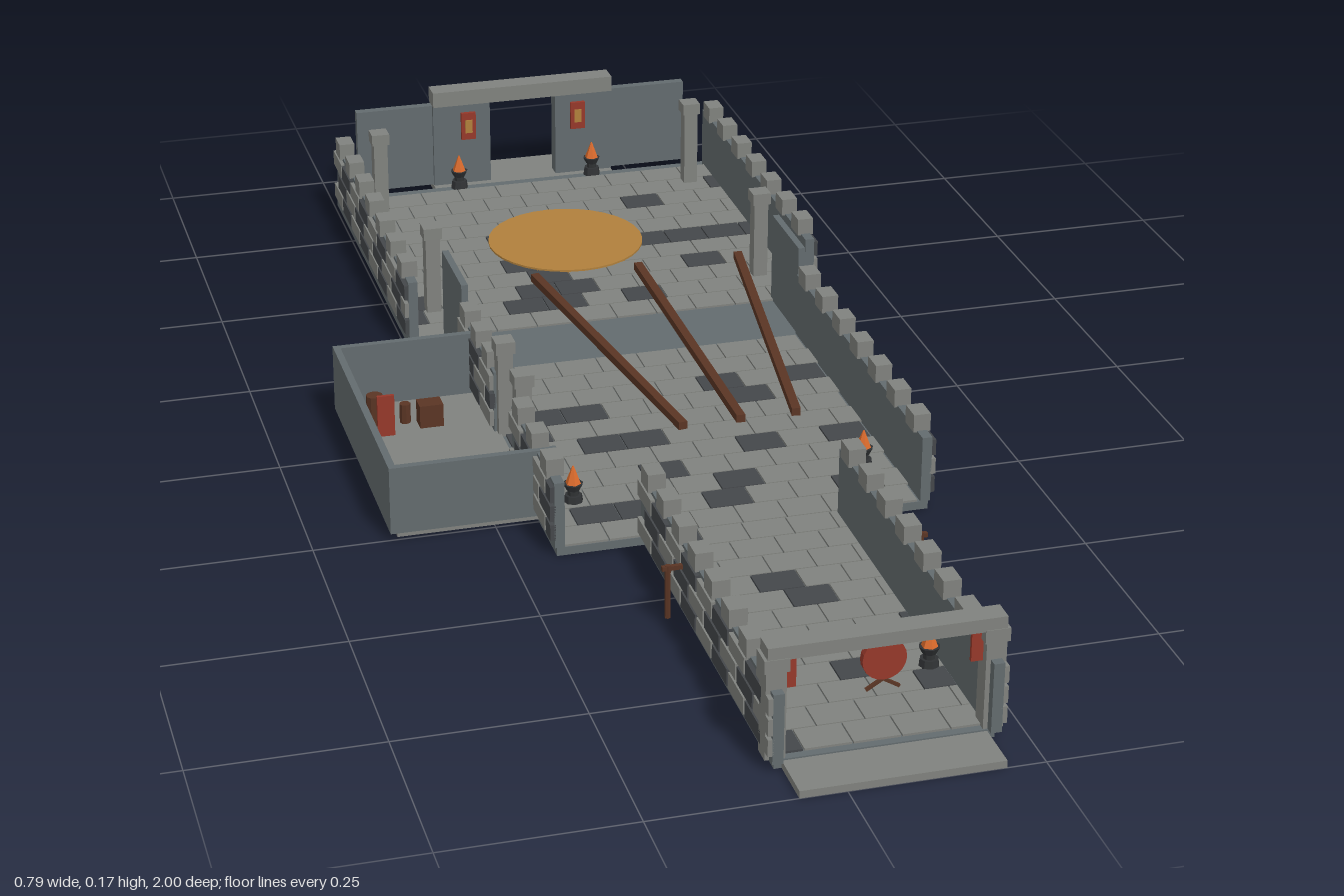
import * as THREE from 'three';
import { mergeGeometries } from 'three/addons/utils/BufferGeometryUtils.js';

const material = (color, extra = {}) => new THREE.MeshStandardMaterial({ color, flatShading: true, ...extra });
const M = {
  wall: material(0x636b6e), stone: material(0x80827e), dark: material(0x44474a),
  wood: material(0x5a3524), red: material(0x96382a), gold: material(0xb0803c),
  flame: material(0xd8692a), iron: material(0x303234),
};
const CX = 0.07; // centre line of the halls
const FLOOR = 0.012;

// Box given by its lower and upper limits
function box(x0, x1, y0, y1, z0, z1) {
  return new THREE.BoxGeometry(x1 - x0, y1 - y0, z1 - z0)
    .translate((x0 + x1) / 2, (y0 + y1) / 2, (z0 + z1) / 2);
}
function cyl(rTop, rBottom, y0, y1, x, z, sides = 8) {
  return new THREE.CylinderGeometry(rTop, rBottom, y1 - y0, sides).translate(x, (y0 + y1) / 2, z);
}

export function createModel() {
  const model = new THREE.Group();
  const add = (name, mat, ...geometries) => {
    if (!geometries.length) return;
    const mesh = new THREE.Mesh(mergeGeometries(geometries), mat);
    mesh.name = name;
    model.add(mesh);
  };
  let seed = 7;
  const random = () => (seed = (seed * 16807) % 2147483647) / 2147483647;

  // Floor plates and the two doorsteps
  add('floorBase', M.wall,
    box(-0.07, 0.21, 0, FLOOR, 0.35, 0.93),
    box(-0.19, 0.33, 0, FLOOR, -0.33, 0.35),
    box(-0.245, 0.385, 0, FLOOR, -0.9, -0.33));
  add('doorsteps', M.stone,
    box(-0.06, 0.2, 0, 0.01, 0.93, 1),
    box(-0.08, 0.22, 0, 0.01, -1, -0.9));

  // Staggered paving with scattered dark slabs
  const pale = [], black = [];
  function pave(x0, x1, z0, z1) {
    const rows = Math.round((z1 - z0) / 0.048), depth = (z1 - z0) / rows, width = 0.062;
    for (let r = 0; r < rows; r++) {
      for (let x = x0 - (r % 2) * width / 2; x < x1 - 0.005; x += width) {
        const a = Math.max(x, x0), b = Math.min(x + width, x1);
        const tile = box(a + 0.001, b - 0.001, FLOOR, FLOOR + 0.003,
          z0 + r * depth + 0.001, z0 + (r + 1) * depth - 0.001);
        (random() < 0.18 ? black : pale).push(tile);
      }
    }
  }
  pave(-0.06, 0.2, 0.35, 0.92);
  pave(-0.18, 0.32, -0.2, 0.35);
  pave(-0.235, 0.375, -0.88, -0.33);
  add('pavingSlabs', M.stone, ...pale);
  add('darkPavingSlabs', M.dark, ...black);
  add('floorDisc', M.gold, cyl(0.122, 0.122, FLOOR, 0.018, CX, -0.63, 32));

  // Battlemented walls, bricked on the outer face
  const walls = [], merlons = [], bricks = [], darkBricks = [];
  function battlement(x, z0, z1, side) {
    walls.push(box(x - 0.007, x + 0.007, FLOOR, 0.108, z0, z1));
    const count = Math.max(1, Math.round((z1 - z0) / 0.075)), step = (z1 - z0) / count;
    for (let i = 0; i < count; i++) {
      const z = z0 + (i + 0.5) * step;
      merlons.push(box(x - 0.012, x + 0.012, 0.106, 0.132, z - 0.017, z + 0.017));
    }
    const face = x + side * 0.009;
    for (let r = 0; r < 3; r++) {
      let n = r;
      for (let z = z0 + (r % 2) * 0.035 + 0.005; z < z1 - 0.02; z += 0.07, n++) {
        const y = 0.024 + r * 0.028;
        (n % 2 ? darkBricks : bricks).push(
          box(face - 0.004, face + 0.004, y, y + 0.023, z, Math.min(z + 0.064, z1)));
      }
    }
  }
  for (const s of [-1, 1]) {
    battlement(CX + s * 0.138, 0.35, 0.94, s);
    battlement(CX + s * 0.308, -0.89, -0.33, s);
    // Plain tall wall linking hall and rear court
    walls.push(box(CX + s * 0.256 - 0.005, CX + s * 0.256 + 0.005, FLOOR, 0.15, -0.34, -0.21));
  }
  battlement(0.326, -0.21, 0.35, 1);
  battlement(-0.186, -0.21, 0, -1);
  battlement(-0.186, 0.11, 0.35, -1);
  add('walls', M.wall, ...walls);
  add('merlons', M.stone, ...merlons);
  add('wallBricks', M.stone, ...bricks);
  add('darkWallBricks', M.dark, ...darkBricks);

  // Square pillars: rear court, side doorway, front gate
  const pillars = [];
  const pillar = (x, z, top, w = 0.013) => {
    pillars.push(box(x - w, x + w, FLOOR, top - 0.018, z - w, z + w));
    pillars.push(box(x - w - 0.003, x + w + 0.003, top - 0.018, top, z - w - 0.003, z + w + 0.003));
  };
  for (const s of [-1, 1]) {
    for (const z of [-0.82, -0.43]) pillar(CX + s * 0.258, z, 0.153, 0.011);
    pillar(CX + s * 0.138, 0.915, 0.15);
  }
  for (const z of [0, 0.11]) pillar(-0.178, z, 0.158, 0.011);
  add('pillars', M.stone, ...pillars);
  add('frontLintel', M.stone, box(-0.08, 0.22, 0.148, 0.166, 0.9, 0.93));

  // Rear gate with wing walls, inner jambs and lintel
  const gate = [];
  for (const s of [-1, 1]) {
    const span = (a, b, z0, z1) =>
      gate.push(box(Math.min(CX + s * a, CX + s * b), Math.max(CX + s * a, CX + s * b), FLOOR, 0.15, z0, z1));
    span(0.055, 0.15, -0.938, -0.912);
    span(0.15, 0.275, -0.932, -0.918);
  }
  add('rearGateWalls', M.wall, ...gate);
  add('rearLintel', M.stone, box(-0.08, 0.22, 0.15, 0.175, -0.942, -0.908));

  // Three timbers laid over the hall
  for (const [xBack, xFront] of [[-0.085, -0.01], [CX, CX], [0.222, 0.147]]) {
    const a = new THREE.Vector3(xBack, 0.158, -0.195), b = new THREE.Vector3(xFront, 0.158, 0.325);
    const beam = new THREE.Mesh(new THREE.BoxGeometry(0.012, 0.011, a.distanceTo(b)), M.wood);
    beam.position.copy(a).lerp(b, 0.5);
    beam.lookAt(b);
    beam.name = 'roofTimber';
    model.add(beam);
  }

  // Braziers: iron foot, stone bowl and flame
  function brazier(x, z) {
    add('brazierBowl', M.iron,
      cyl(0.012, 0.014, FLOOR, 0.025, x, z), cyl(0.008, 0.008, 0.025, 0.032, x, z),
      cyl(0.014, 0.009, 0.032, 0.042, x, z));
    add('brazierFlame', M.flame, cyl(0.001, 0.011, 0.042, 0.068, x, z, 6));
  }
  for (const s of [-1, 1]) {
    brazier(CX + s * 0.207, 0.23);
    brazier(CX + s * 0.112, 0.77);
    brazier(CX + s * 0.112, -0.895);
  }

  // Outside brackets with hanging poles, and banners
  for (const s of [-1, 1]) {
    const x = CX + s * 0.17;
    add('poleBracket', M.wood,
      box(x - 0.026, x + 0.008, 0.083, 0.089, 0.567, 0.573).translate(s < 0 ? 0.018 : 0, 0, 0),
      cyl(0.004, 0.004, 0.014, 0.09, x, 0.57, 6));
    const inner = CX + s * 0.092, outer = CX + s * 0.118;
    add('rearBanner', M.red, box(inner - 0.012, inner + 0.012, 0.09, 0.136, -0.912, -0.906));
    add('rearBannerCrest', M.gold, box(inner - 0.006, inner + 0.006, 0.102, 0.124, -0.906, -0.904));
    add('frontBanner', M.red, box(outer - 0.008, outer + 0.008, 0.102, 0.15, 0.912, 0.917));
  }

  // Round plaque and crossed sticks under the front lintel
  add('hangingPlaque', M.red,
    new THREE.CylinderGeometry(0.028, 0.028, 0.01, 20).rotateX(Math.PI / 2).translate(CX, 0.123, 0.913));
  add('crossedSticks', M.wood, ...[-1, 1].map(s =>
    new THREE.BoxGeometry(0.05, 0.004, 0.004).rotateZ(s * 0.55).translate(CX, 0.094, 0.913)));

  // Side room with its furnishings
  add('sideRoomFloor', M.stone, box(-0.385, -0.185, 0.004, 0.016, -0.135, 0.25));
  add('sideRoomWalls', M.wall,
    box(-0.395, -0.385, FLOOR, 0.11, -0.14, 0.255),
    box(-0.385, -0.19, FLOOR, 0.11, -0.14, -0.13),
    box(-0.385, -0.165, FLOOR, 0.11, 0.245, 0.255));
  add('barrels', M.wood,
    cyl(0.012, 0.012, 0.016, 0.06, -0.35, -0.07, 10), cyl(0.008, 0.008, 0.016, 0.045, -0.308, -0.063, 8));
  add('crate', M.wood, box(-0.292, -0.258, 0.016, 0.05, -0.062, -0.036));
  add('bench', M.wood, box(-0.372, -0.308, 0.035, 0.041, 0.165, 0.175),
    box(-0.37, -0.364, 0.016, 0.035, 0.165, 0.175), box(-0.316, -0.31, 0.016, 0.035, 0.165, 0.175));
  add('sideRoomBanner', M.red, box(-0.371, -0.347, 0.06, 0.121, 0.056, 0.061));
  return model;
}
